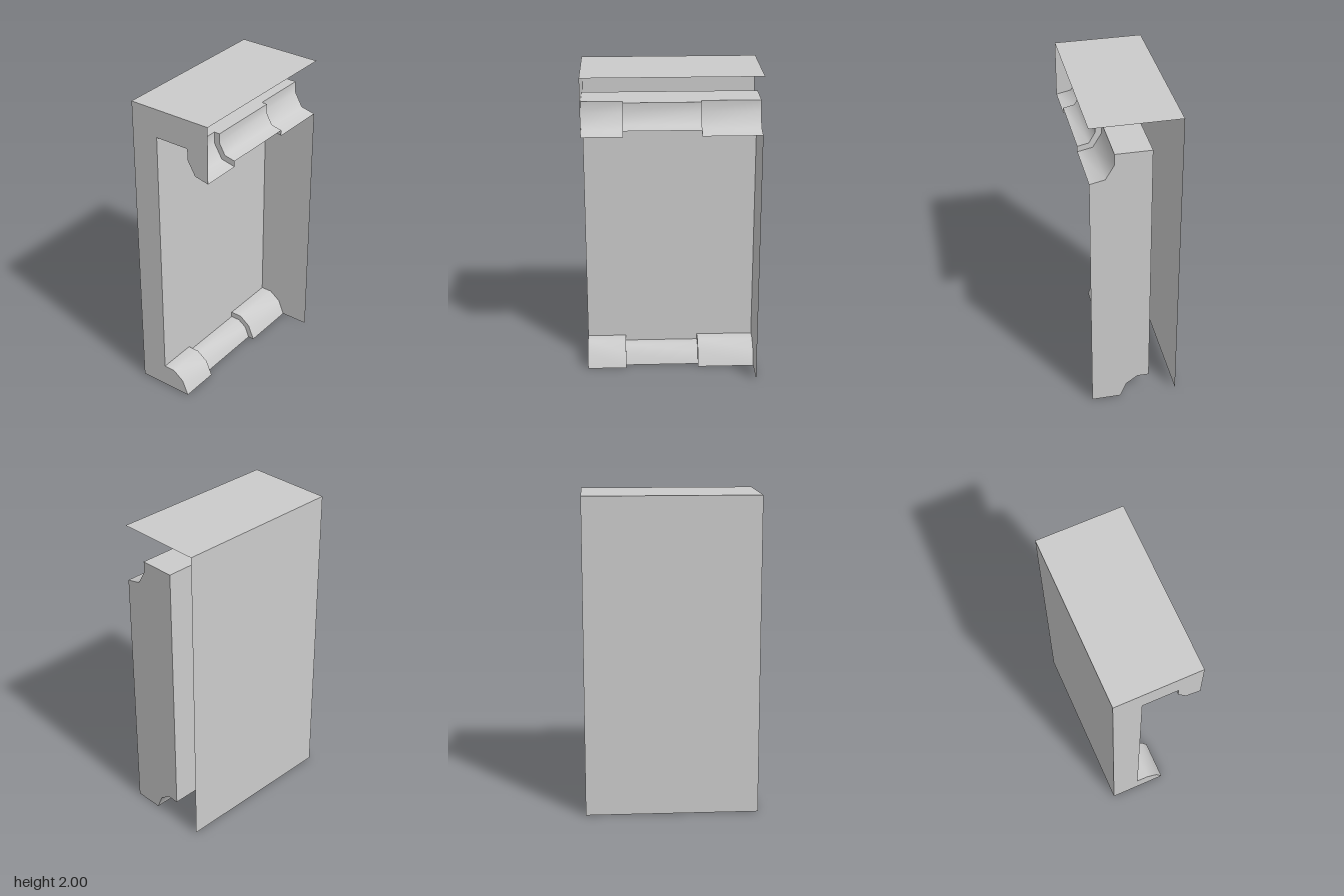
import * as THREE from 'three';

const X = 0.273, H = 2, Z = 0.544;
const WALL = -0.095, CEILING = 1.82;
const STEP_BACK = -0.18, STEP_FRONT = 0.293;

// Moulding cross-sections [x, y]: full at both ends, slimmer in the middle
const full = {
  lip: [[X, 1.64], [0.18, 1.66], [0.127, 1.75], [0.127, CEILING]],
  sill: [[WALL, 0.147], [-0.02, 0.147], [0.05, 0.095], [0.09, 0]],
};
const slim = {
  lip: [[X, 1.677], [0.203, 1.692], [0.164, 1.76], [0.164, CEILING]],
  sill: [[WALL, 0.11], [-0.033, 0.11], [0.02, 0.073], [0.05, 0]],
};

const material = new THREE.MeshStandardMaterial({ color: 0xcccccc, side: THREE.DoubleSide });

function addMesh(group, name, geometry) {
  const mesh = new THREE.Mesh(geometry, material);
  mesh.name = name;
  group.add(mesh);
  return mesh;
}

// Sweeps an open profile along z, smooth across its segments
function sweep(profile, z0, z1) {
  const positions = [], index = [];
  profile.forEach(([x, y], i) => {
    positions.push(x, y, z0, x, y, z1);
    if (i < profile.length - 1) {
      const a = 2 * i;
      index.push(a, a + 1, a + 2, a + 1, a + 3, a + 2);
    }
  });
  const geometry = new THREE.BufferGeometry();
  geometry.setAttribute('position', new THREE.Float32BufferAttribute(positions, 3));
  geometry.setIndex(index);
  geometry.computeVertexNormals();
  return geometry;
}

// Flat plate facing +z
function plate(points, z) {
  const shape = new THREE.Shape(points.map(([x, y]) => new THREE.Vector2(x, y)));
  return new THREE.ShapeGeometry(shape).translate(0, 0, z);
}

export function createModel() {
  const group = new THREE.Group();
  const opening = [...full.lip, [WALL, CEILING], ...full.sill];

  // Outer shell: side wall and top, open underneath
  addMesh(group, 'outerWall', sweep([[-X, 0], [-X, H]], -Z, Z));
  addMesh(group, 'top', sweep([[X, H], [-X, H]], Z, -Z));

  // C-shaped front and the panel closing the far end of the recess
  addMesh(group, 'frontFrame', plate([[X, H], [-X, H], [-X, 0], ...[...opening].reverse()], Z));
  addMesh(group, 'endPanel', plate([...opening, [X, 0]], -Z));

  // Recess lining, in three lengths
  const spans = [
    [full, -Z, STEP_BACK, 'back'],
    [slim, STEP_BACK, STEP_FRONT, 'middle'],
    [full, STEP_FRONT, Z, 'front'],
  ];
  for (const [section, z0, z1, name] of spans) {
    const { lip, sill } = section;
    addMesh(group, name + 'Lip', sweep(lip, z0, z1));
    addMesh(group, name + 'Ceiling', sweep([lip[3], [WALL, CEILING]], z0, z1));
    addMesh(group, name + 'InnerWall', sweep([[WALL, CEILING], sill[0]], z0, z1));
    addMesh(group, name + 'Sill', sweep(sill, z0, z1));
  }

  // Step faces where the moulding changes thickness
  for (const z of [STEP_BACK, STEP_FRONT]) {
    for (const part of ['lip', 'sill']) {
      addMesh(group, part + 'Step', plate([...full[part], ...[...slim[part]].reverse()], z));
    }
  }
  return group;
}
